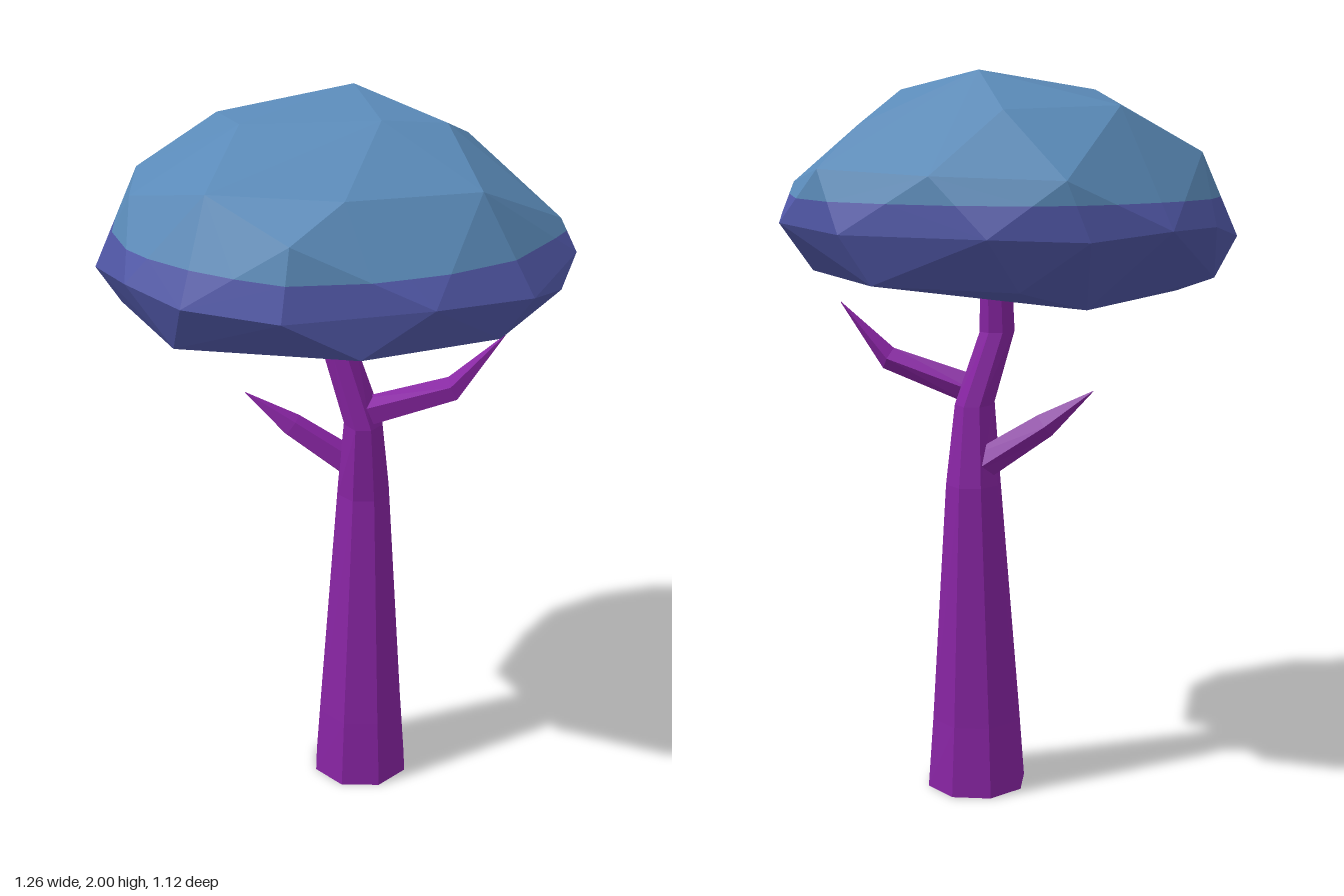
import * as THREE from 'three';
import { ConvexGeometry } from 'three/addons/geometries/ConvexGeometry.js';

const V = (x, y, z) => new THREE.Vector3(x, y, z);

function mat(name, color) {
  const m = new THREE.MeshStandardMaterial({ color, flatShading: true });
  m.name = name;
  return m;
}

function meshFrom(name, pts, material) {
  const g = new THREE.BufferGeometry().setFromPoints(pts);
  g.computeVertexNormals();
  const mesh = new THREE.Mesh(g, material);
  mesh.name = name;
  return mesh;
}

// Faceted skin through rings [x, y, z, radiusX, radiusZ] lying across an axis, capped at both ends
function loft(name, rings, sides, axis, material) {
  const turn = new THREE.Quaternion().setFromUnitVectors(V(0, 1, 0), axis.clone().normalize());
  const loops = rings.map(([x, y, z, rx, rz]) => Array.from({ length: sides }, (_, i) => {
    const a = ((i + 0.5) / sides) * Math.PI * 2;
    return V(Math.sin(a) * rx, 0, Math.cos(a) * rz).applyQuaternion(turn).add(V(x, y, z));
  }));
  const pts = [];
  const last = rings.length - 1;
  for (let i = 0; i < sides; i++) {
    const j = (i + 1) % sides;
    for (let r = 0; r < last; r++) {
      const [a, b, c, d] = [loops[r][i], loops[r][j], loops[r + 1][j], loops[r + 1][i]];
      pts.push(a, b, c, a, c, d);
    }
    pts.push(V(...rings[0]), loops[0][j], loops[0][i]);
    pts.push(V(...rings[last]), loops[last][i], loops[last][j]);
  }
  return meshFrom(name, pts, material);
}

// Keep the part of a triangle list above (side 1) or below (side -1) a height
function clip(geometry, height, side) {
  const p = geometry.attributes.position;
  const out = [];
  for (let i = 0; i < p.count; i += 3) {
    const tri = [0, 1, 2].map((k) => new THREE.Vector3().fromBufferAttribute(p, i + k));
    const poly = [];
    tri.forEach((a, k) => {
      const b = tri[(k + 1) % 3];
      const da = (a.y - height) * side, db = (b.y - height) * side;
      if (da >= 0) poly.push(a);
      if (da * db < 0) poly.push(a.clone().lerp(b, da / (da - db)));
    });
    for (let k = 1; k + 1 < poly.length; k++) out.push(poly[0], poly[k], poly[k + 1]);
  }
  return out;
}

export function createModel() {
  const group = new THREE.Group();
  const bark = mat('purple bark', 0x8724a2);
  const leafTop = mat('blue leaves', 0x5a8ab8);
  const leafBottom = mat('indigo leaves', 0x5057a6);

  // Trunk, tapering and kinked near the top
  group.add(loft('trunk', [
    [0.078, 0, -0.018, 0.142, 0.15],
    [0.078, 0.2, -0.02, 0.127, 0.137],
    [0.082, 0.88, -0.045, 0.078, 0.093],
    [0.08, 1.1, -0.022, 0.056, 0.085],
    [0.018, 1.3, -0.02, 0.05, 0.05],
    [0.02, 1.5, -0.04, 0.044, 0.046],
  ], 8, V(0, 1, 0), bark));

  // Two bent, pointed branches
  group.add(loft('leftBranch', [
    [0.06, 1.125, 0.0, 0.045, 0.045],
    [0.325, 1.215, 0.03, 0.034, 0.042],
    [0.46, 1.37, 0.03, 0.001, 0.001],
  ], 5, V(0.38, 0.2, 0.03), bark));
  group.add(loft('rightBranch', [
    [0.1, 0.91, -0.07, 0.048, 0.045],
    [-0.12, 1.055, -0.09, 0.036, 0.036],
    [-0.25, 1.15, -0.1, 0.001, 0.001],
  ], 5, V(-0.34, 0.24, -0.03), bark));

  // Faceted canopy, from its corner points
  const corners = [
    // crown
    [0.05, 2, -0.18], [-0.24, 1.95, 0.08], [0.12, 1.97, 0.12], [0.29, 1.95, 0.06],
    [-0.32, 1.91, -0.24], [-0.03, 1.9, -0.35], [0.36, 1.86, -0.22],
    // shoulder
    [0.03, 1.84, 0.41], [0.37, 1.83, 0.28], [-0.31, 1.84, 0.35], [-0.53, 1.79, -0.12],
    [-0.52, 1.78, 0.14], [-0.1, 1.76, 0.52], [0.14, 1.74, -0.5], [-0.2, 1.73, -0.5],
    [0.45, 1.75, -0.33], [0.59, 1.7, 0.05],
    // rim
    [-0.63, 1.56, 0.04], [-0.57, 1.6, -0.2], [-0.46, 1.6, -0.37], [-0.26, 1.58, -0.5],
    [-0.01, 1.59, -0.56], [0.38, 1.59, -0.43], [0.59, 1.6, -0.15], [0.63, 1.62, 0.09],
    [0.58, 1.56, 0.22], [0.5, 1.58, 0.35], [0.25, 1.6, 0.51], [-0.12, 1.58, 0.56],
    [-0.37, 1.58, 0.45], [-0.52, 1.6, 0.31],
    // underside
    [-0.57, 1.45, 0], [-0.4, 1.44, 0.34], [0.07, 1.48, 0.53], [0.42, 1.47, 0.34],
    [0.53, 1.46, 0], [0.3, 1.46, -0.41], [-0.08, 1.45, -0.45], [-0.24, 1.39, -0.28],
    [-0.47, 1.42, -0.05], [-0.1, 1.43, 0.32], [0.3, 1.43, 0.05],
  ].map((c) => V(...c));
  const hull = new ConvexGeometry(corners);
  const split = 1.67;
  group.add(meshFrom('canopyTop', clip(hull, split, 1), leafTop));
  group.add(meshFrom('canopyBottom', clip(hull, split, -1), leafBottom));

  return group;
}
